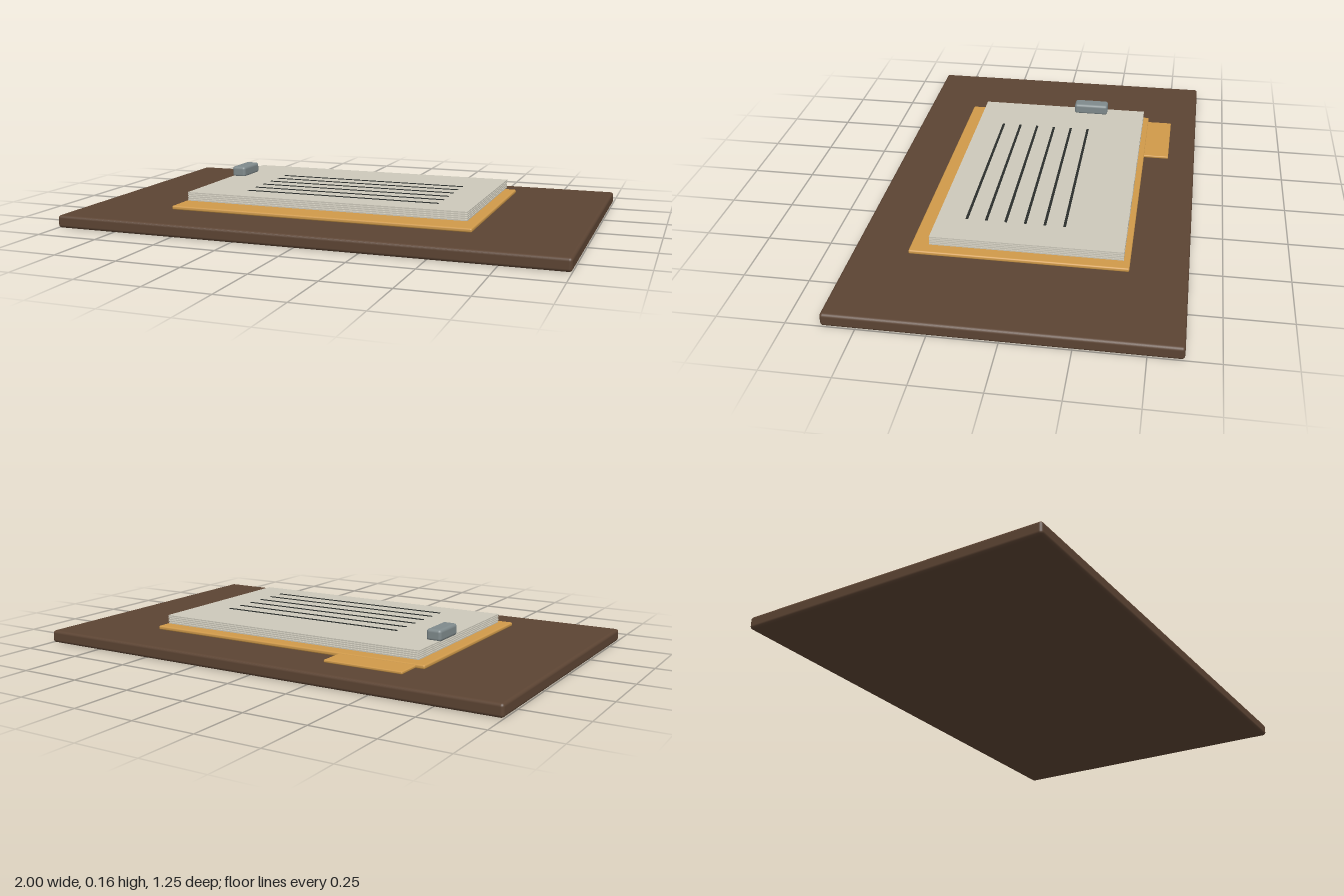
import * as THREE from 'three';
import { RoundedBoxGeometry } from 'three/addons/geometries/RoundedBoxGeometry.js';

const material = (name, color) => {
  const m = new THREE.MeshStandardMaterial({ color });
  m.name = name;
  return m;
};

export function createModel() {
  const group = new THREE.Group();
  const wood = material('dark wood', 0x5c4433);
  const card = material('manila card', 0xd09a4a);
  const paper = material('paper', 0xcdc9bb);
  const ink = material('ink', 0x2a2e2c);
  const metal = material('grey metal', 0x7f8a8c);

  // Box given by its [min, max] along each axis, with optional rounded edges
  const box = (name, mat, x, y, z, radius = 0) => {
    const size = [x, y, z].map(([a, b]) => b - a);
    const geometry = radius
      ? new RoundedBoxGeometry(...size, 3, radius)
      : new THREE.BoxGeometry(...size);
    const mesh = new THREE.Mesh(geometry, mat);
    mesh.name = name;
    mesh.position.set(...[x, y, z].map(([a, b]) => (a + b) / 2));
    group.add(mesh);
  };

  // Desk board
  box('board', wood, [-1, 1], [0, 0.05], [-0.625, 0.625], 0.012);

  // Folder with its index tab
  box('folder', card, [-0.612, 0.61], [0.058, 0.074], [-0.41, 0.41], 0.006);
  box('folderTab', card, [-0.577, -0.255], [0.059, 0.07], [-0.513, -0.4], 0.004);

  // Stack of separate sheets
  const sheets = 5, pitch = 0.0075;
  for (let i = 0; i < sheets; i++) {
    const y = 0.084 + i * pitch;
    box('sheet', paper, [-0.578, 0.575], [y, y + 0.005], [-0.387, 0.337]);
  }

  // Ruled lines on the top sheet
  for (let i = 0; i < 6; i++) {
    const z = -0.152 + i * 0.075;
    box('writtenLine', ink, [-0.365, 0.436], [0.118, 0.121], [z - 0.005, z + 0.005]);
  }

  // Clip on the left edge of the paper
  box('clip', metal, [-0.583, -0.522], [0.114, 0.16], [-0.223, -0.075], 0.012);

  return group;
}
